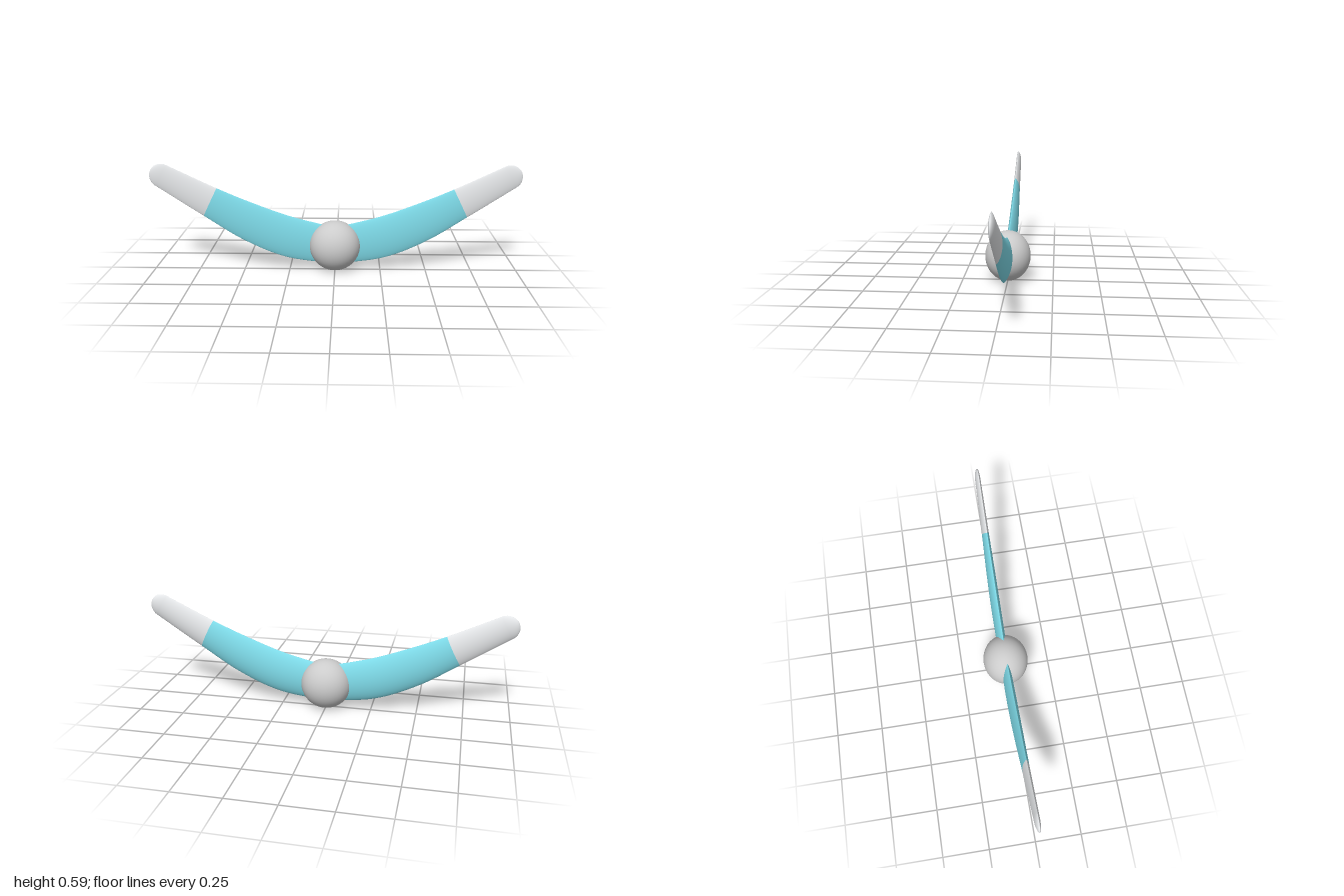
import * as THREE from 'three';
import { ParametricGeometry } from 'three/addons/geometries/ParametricGeometry.js';

const spline = pts => new THREE.CatmullRomCurve3(
  pts.map(([x, y]) => new THREE.Vector3(x, y, 0)), false, 'catmullrom', 0.5);

// Upper and lower outline of one arm, from the hub out to the rounded tip
const upper = spline([[0, 0.243], [0.24, 0.304], [0.44, 0.376], [0.64, 0.46], [0.903, 0.585]]);
const lower = spline([[0, 0.033], [0.27, 0.072], [0.5, 0.168], [0.717, 0.305], [0.967, 0.47]]);
const BAND = 0.75; // where the coloured part ends
const END = 1.99;  // 0..1 runs along the arm, 1..2 around the tip

// Point on the arm: t along its length, v across the chord (-1 lower, 1 upper)
function armPoint(t, v, side, mirror, target) {
  const s = Math.min(t, 1);
  const top = upper.getPoint(s), bottom = lower.getPoint(s);
  const mid = top.clone().add(bottom).multiplyScalar(0.5);
  const half = top.sub(bottom).multiplyScalar(0.5);
  const angle = Math.max(t - 1, 0) * Math.PI / 2;
  const outward = new THREE.Vector3(half.y, -half.x, 0);
  mid.addScaledVector(outward, Math.sin(angle));
  half.multiplyScalar(Math.cos(angle));
  // Lens section, fuller at the back than at the front
  const depth = half.length() * (side > 0 ? 0.165 : 0.295);
  const bulge = Math.pow(Math.max(1 - v * v, 0), 0.75);
  mid.addScaledVector(half, v);
  target.set(mid.x * mirror, mid.y, side * depth * bulge);
}

// Front and back skins of a stretch of arm, meeting in a sharp rim
function armSection(name, from, to, material, mirror) {
  const group = new THREE.Group();
  group.name = name;
  for (const side of [1, -1]) {
    const flip = side * mirror;
    const skin = new ParametricGeometry((u, w, target) => {
      const v = -Math.cos(w * Math.PI) * flip;
      armPoint(from + (to - from) * u, v, side, mirror, target);
    }, 40, 20);
    const mesh = new THREE.Mesh(skin, material);
    mesh.name = name + (side > 0 ? 'Front' : 'Back');
    group.add(mesh);
  }
  return group;
}

export function createModel() {
  const model = new THREE.Group();
  model.name = 'boomerang';
  const grey = new THREE.MeshStandardMaterial({ color: 0xcccccc });
  const blue = new THREE.MeshStandardMaterial({ color: 0x7fdcea });
  const pale = new THREE.MeshStandardMaterial({ color: 0xe6e8ea });

  // Arms with pale tips
  for (const [name, mirror] of [['left', 1], ['right', -1]]) {
    model.add(armSection(name + 'Arm', 0, BAND, blue, mirror));
    model.add(armSection(name + 'Tip', BAND, END, pale, mirror));
  }

  // Central hub, slightly flattened front to back
  const hub = new THREE.Mesh(new THREE.SphereGeometry(0.139, 40, 28), grey);
  hub.name = 'hub';
  hub.scale.z = 0.9;
  hub.position.y = 0.14;
  model.add(hub);

  return model;
}
